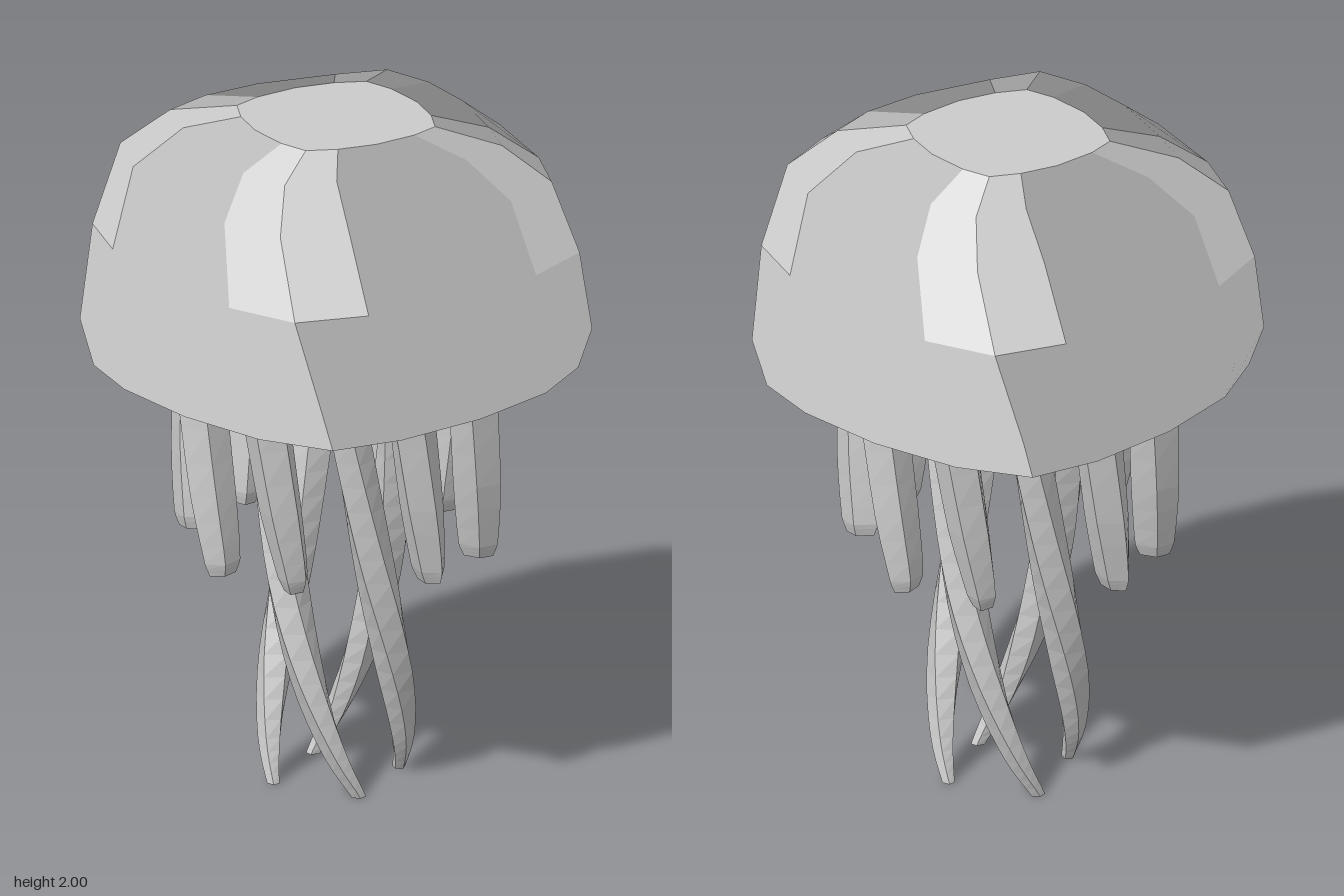
import * as THREE from 'three';

const material = new THREE.MeshStandardMaterial({ color: 0xcccccc });

// Skin a stack of rings (bottom to top, each counter-clockwise from above) and cap both ends.
function loft(rings) {
  const n = rings[0].length;
  const pos = [];
  const tri = (...pts) => pts.forEach((p) => pos.push(p.x, p.y, p.z));
  for (let j = 0; j < rings.length - 1; j++) {
    for (let i = 0; i < n; i++) {
      const k = (i + 1) % n;
      const a = rings[j], b = rings[j + 1];
      tri(a[i], a[k], b[k]);
      tri(a[i], b[k], b[i]);
    }
  }
  const low = rings[0], high = rings[rings.length - 1];
  for (let i = 1; i < n - 1; i++) tri(low[0], low[i + 1], low[i]);
  for (let i = 1; i < n - 1; i++) tri(high[0], high[i], high[i + 1]);
  const geometry = new THREE.BufferGeometry();
  geometry.setAttribute('position', new THREE.Float32BufferAttribute(pos, 3));
  geometry.computeVertexNormals();
  return geometry;
}

// Bell: one quarter of each ring as [x, z], starting at the corner; the other quarters are turned copies.
const BELL = [
  { y: 1.24, quarter: [[0.475, 0.5], [0.555, 0.3], [0.595, 0.02], [0.58, -0.26]] },
  { y: 1.37, quarter: [[0.48, 0.55], [0.58, 0.35], [0.64, 0.04], [0.625, -0.25]] },
  { y: 1.63, quarter: [[0.4, 0.578], [0.51, 0.39], [0.6, 0.11], [0.62, -0.18]] },
  { y: 1.86, quarter: [[0.315, 0.55], [0.43, 0.387], [0.545, 0.12], [0.578, -0.12]] },
  { y: 1.965, quarter: [[0.225, 0.44], [0.305, 0.31], [0.41, 0.1], [0.45, -0.07]] },
  { y: 2.0, quarter: [[0.135, 0.262], [0.193, 0.19], [0.243, 0.085], [0.268, -0.045]] },
];

function makeBell() {
  const rings = BELL.map(({ y, quarter }) => {
    const ring = [];
    for (let q = 0; q < 4; q++) {
      for (const [x, z] of quarter) {
        ring.push(new THREE.Vector3(x, y, z).applyAxisAngle(new THREE.Vector3(0, 1, 0), q * Math.PI / 2));
      }
    }
    return ring;
  });
  const geometry = loft(rings);

  // Each side shades as one plane, with separate facets beside the upper corners.
  const pos = geometry.attributes.position, normal = geometry.attributes.normal;
  const groups = new Map();
  for (let v = 0; v < (rings.length - 1) * 16 * 6; v += 3) {
    const quad = Math.floor(v / 6);
    const band = Math.floor(quad / 16), column = quad % 16;
    const c = column % 4;
    const facet = band >= 2 && (c === 0 || c === 3) ? c : 'main';
    const key = Math.floor(column / 4) + '-' + facet;
    if (!groups.has(key)) groups.set(key, { sum: new THREE.Vector3(), corners: [] });
    const [a, b, d] = [0, 1, 2].map((o) => new THREE.Vector3().fromBufferAttribute(pos, v + o));
    const group = groups.get(key);
    group.sum.add(b.sub(a).cross(d.sub(a)));
    group.corners.push(v, v + 1, v + 2);
  }
  for (const { sum, corners } of groups.values()) {
    sum.normalize();
    for (const v of corners) normal.setXYZ(v, sum.x, sum.y, sum.z);
  }
  return geometry;
}

// Tentacle: five-sided section winding about the vertical axis.
// Stations are [y, distance from axis, angle in degrees, radial half width, tangential half width].
function makeTentacle(stations, steps) {
  const rings = [];
  const curve = new THREE.CatmullRomCurve3(stations.map(([y, r, a]) => new THREE.Vector3(a / 100, y, r)));
  const widths = new THREE.CatmullRomCurve3(stations.map(([, , , u, w]) => new THREE.Vector3(u, w, 0)));
  for (let s = 0; s <= steps; s++) {
    const p = curve.getPoint(s / steps), w = widths.getPoint(s / steps);
    const turn = THREE.MathUtils.degToRad(p.x * 100);
    const ring = [];
    for (let i = 0; i < 5; i++) {
      const t = i * Math.PI * 2 / 5;
      const point = new THREE.Vector3(Math.sin(t) * w.y, p.y, p.z + Math.cos(t) * w.x);
      ring.push(point.applyAxisAngle(new THREE.Vector3(0, 1, 0), turn));
    }
    rings.push(ring);
  }
  return loft(rings);
}

const SHORT = [
  [0.712, 0.42, 11, 0.045, 0.03],
  [0.75, 0.42, 10.5, 0.06, 0.044],
  [0.95, 0.43, 6, 0.073, 0.062],
  [1.25, 0.44, 0, 0.075, 0.07],
];
const LONG = [
  [0.0, 0.19, 64, 0.018, 0.022],
  [0.12, 0.188, 45, 0.035, 0.035],
  [0.35, 0.185, 19, 0.056, 0.052],
  [0.65, 0.185, -7, 0.064, 0.06],
  [0.95, 0.185, -26, 0.062, 0.06],
  [1.25, 0.19, -42, 0.06, 0.06],
];

export function createModel() {
  const model = new THREE.Group();
  model.name = 'jellyfish';
  const add = (geometry, name, turn = 0) => {
    const mesh = new THREE.Mesh(geometry, material);
    mesh.name = name;
    mesh.rotation.y = turn;
    model.add(mesh);
  };

  add(makeBell(), 'bell');

  const shortTentacle = makeTentacle(SHORT, 9);
  const longTentacle = makeTentacle(LONG, 20);
  for (let q = 0; q < 4; q++) {
    const turn = q * Math.PI / 2;
    // A pair of short outer tentacles under each side
    for (const offset of [-0.3, 0.3]) add(shortTentacle, 'outerTentacle', turn + offset);
    // One long spiralling tentacle under each side
    add(longTentacle, 'innerTentacle', turn);
  }
  return model;
}
